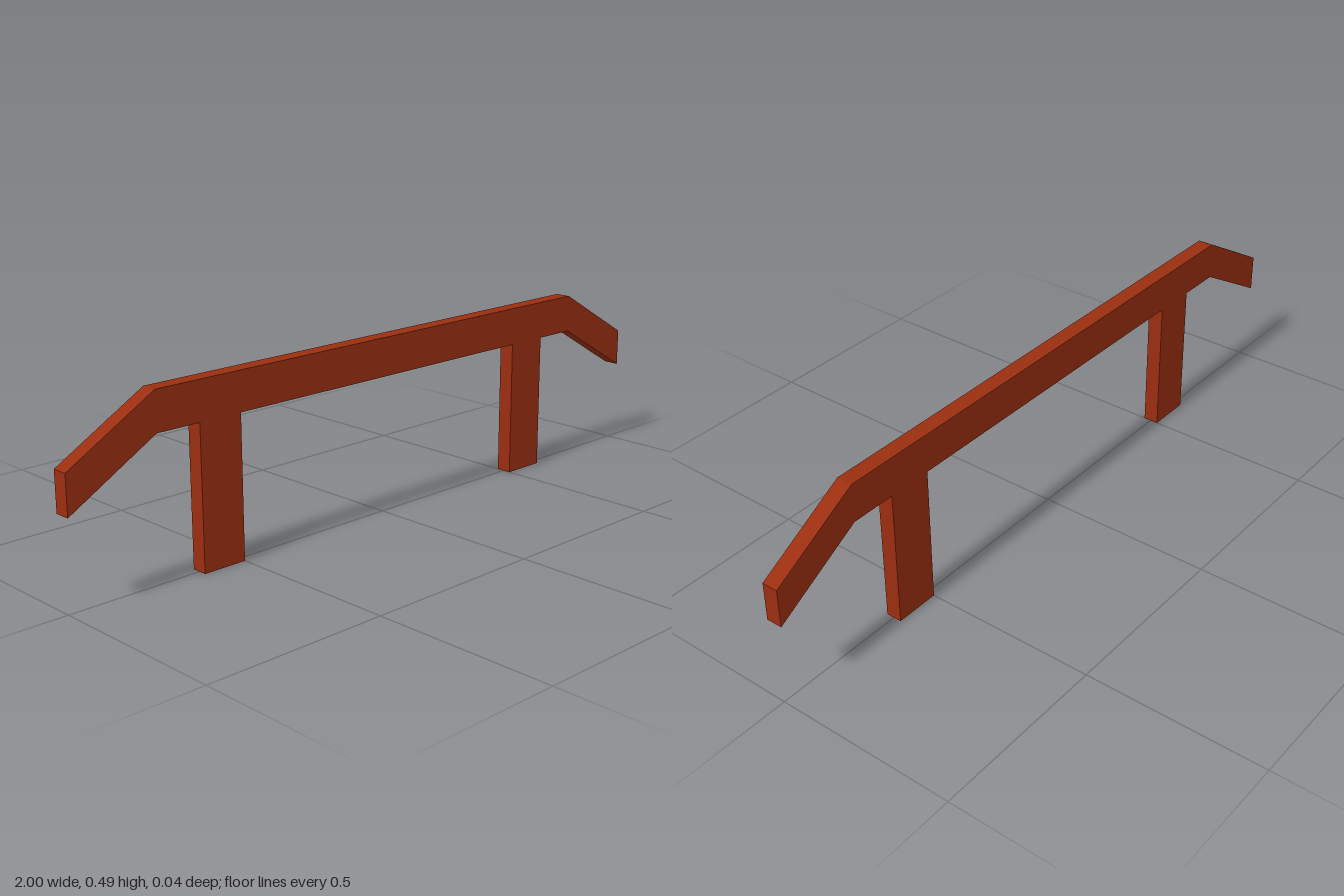
import * as THREE from 'three';

const DEPTH = 0.044;

export function createModel() {
  const group = new THREE.Group();
  const paint = new THREE.MeshStandardMaterial({ color: 0x9a2e10 });
  paint.name = 'rust red paint';

  // Top rail: level in the middle, sloping down at both ends
  const shape = new THREE.Shape([
    [-1, 0.238], [-0.75, 0.382], [0.75, 0.382], [1, 0.238],
    [1, 0.343], [0.75, 0.487], [-0.75, 0.487], [-1, 0.343],
  ].map(([x, y]) => new THREE.Vector2(x, y)));
  const railGeometry = new THREE.ExtrudeGeometry(shape, { depth: DEPTH, bevelEnabled: false });
  railGeometry.translate(0, 0, -DEPTH / 2);
  const rail = new THREE.Mesh(railGeometry, paint);
  rail.name = 'rail';
  group.add(rail);

  // Two posts, flush with the rail faces
  const postGeometry = new THREE.BoxGeometry(0.125, 0.382, DEPTH);
  for (const [name, side] of [['leftPost', 1], ['rightPost', -1]]) {
    const post = new THREE.Mesh(postGeometry, paint);
    post.name = name;
    post.position.set(side * 0.5625, 0.191, 0);
    group.add(post);
  }
  return group;
}
